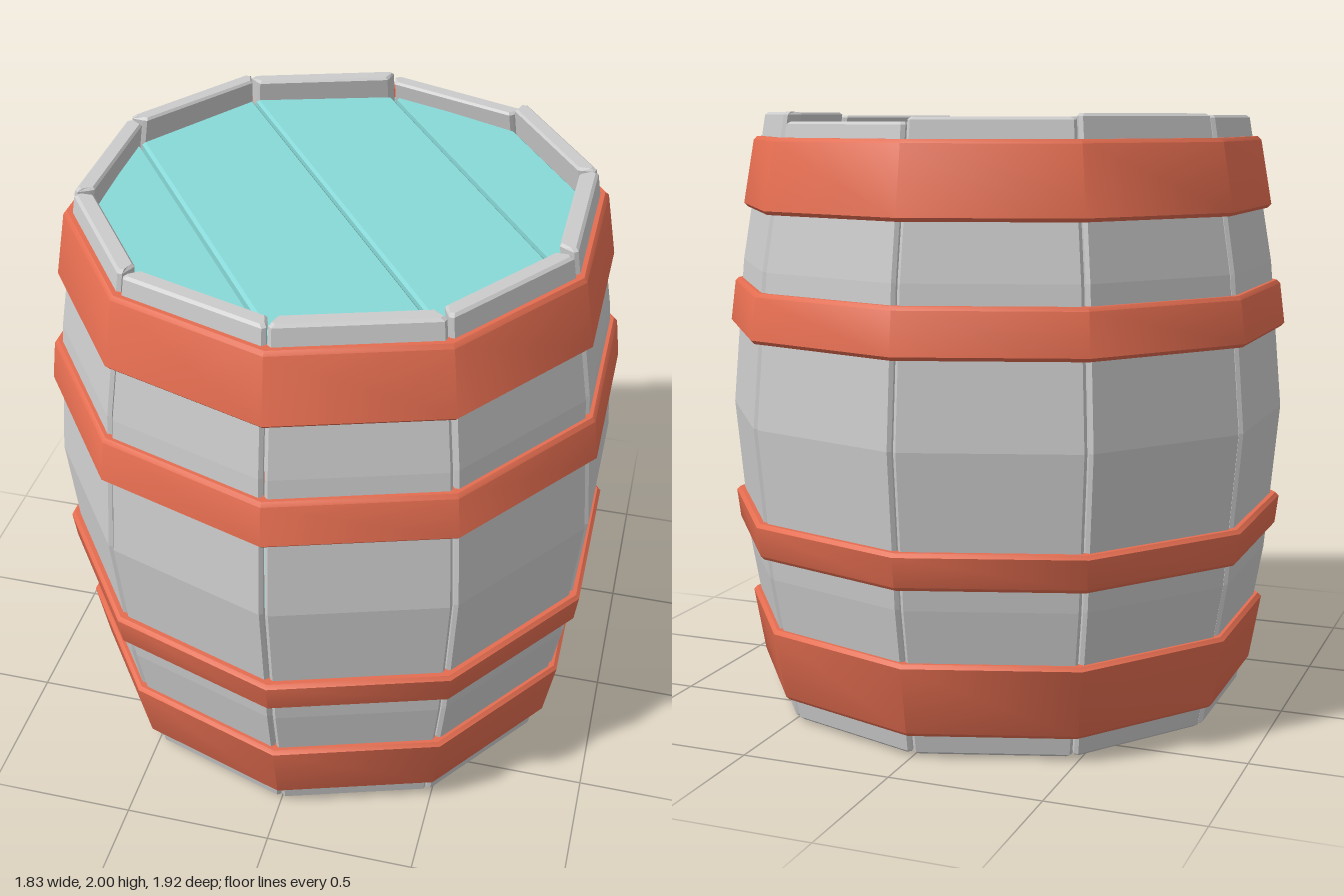
import * as THREE from 'three';
import { toCreasedNormals } from 'three/addons/utils/BufferGeometryUtils.js';

const SIDES = 10;
const STEP = (Math.PI * 2) / SIDES;
const APOTHEM = Math.cos(STEP / 2);

// Barrel bulge: corner radius at each height
const BULGE = [[0, 0.825], [0.5, 0.912], [1, 0.957], [1.5, 0.912], [2, 0.825]];
function radiusAt(y) {
  for (let i = 1; i < BULGE.length; i++) {
    const [y0, r0] = BULGE[i - 1], [y1, r1] = BULGE[i];
    if (y <= y1) return r0 + ((r1 - r0) * (y - y0)) / (y1 - y0);
  }
  return BULGE[BULGE.length - 1][1];
}

// Chamfered cross-section of a stave: [tangent, outward] pairs
function staveSection(y, inset) {
  const outer = radiusAt(y) * APOTHEM - inset;
  const inner = radiusAt(y) * APOTHEM - 0.058 + inset;
  const tan = Math.tan(STEP / 2), c = 0.012, gap = 0.003 + inset;
  const wo = outer * tan - gap, wi = inner * tan - gap;
  return [
    [-wo + c, outer], [wo - c, outer], [wo - c * 0.3, outer - c],
    [wi - c * 0.3, inner + c], [wi - c, inner],
    [-wi + c, inner], [-wi + c * 0.3, inner + c], [-wo + c * 0.3, outer - c],
  ];
}

// Loft one stave through its cross-sections
function staveGeometry(bottom, top) {
  const b = 0.008;
  const rings = [
    [bottom, b], [bottom + b, 0], [0.5, 0], [1, 0], [1.5, 0], [top - b, 0], [top, b],
  ].map(([y, inset]) => staveSection(y, inset).map(([t, n]) => [t, y, n]));
  const n = rings[0].length, last = (rings.length - 1) * n, index = [];
  for (let r = 0; r < rings.length - 1; r++) {
    for (let i = 0; i < n; i++) {
      const a = r * n + i, d = r * n + ((i + 1) % n);
      index.push(a, d, d + n, a, d + n, a + n);
    }
  }
  for (let i = 1; i < n - 1; i++) {
    index.push(last, last + i, last + i + 1, 0, i + 1, i);
  }
  const g = new THREE.BufferGeometry();
  g.setAttribute('position', new THREE.Float32BufferAttribute(rings.flat(2), 3));
  g.setIndex(index);
  return toCreasedNormals(g, 0.05);
}

// Tapered ten-sided hoop with bevelled rims
function hoopGeometry(y0, r0, y1, r1) {
  const thick = 0.045, b = 0.012;
  const profile = [
    [r0 - b, y0], [r0, y0 + b], [r1, y1 - b], [r1 - b, y1],
    [r1 - thick, y1], [r0 - thick, y0], [r0 - b, y0],
  ].map(([r, y]) => new THREE.Vector2(r, y));
  return toCreasedNormals(new THREE.LatheGeometry(profile, SIDES).toNonIndexed(), 0.66);
}

// Bevelled plank whose outline is one strip of the decagon
function plankGeometry(i0, i1, radius) {
  const bevel = 0.01, gap = 0.004 + bevel;
  const x0 = Math.sin(i0 * STEP) * radius + gap, h0 = Math.cos(i0 * STEP) * radius;
  const x1 = Math.sin(i1 * STEP) * radius - gap, h1 = Math.cos(i1 * STEP) * radius;
  const shape = new THREE.Shape([
    new THREE.Vector2(x0, -h0 + bevel), new THREE.Vector2(x1, -h1 + bevel),
    new THREE.Vector2(x1, h1 - bevel), new THREE.Vector2(x0, h0 - bevel),
  ]);
  const g = new THREE.ExtrudeGeometry(shape, {
    depth: 0.04, bevelEnabled: true, bevelThickness: bevel, bevelSize: bevel, bevelSegments: 1,
  });
  return g.translate(0, 0, -0.02).rotateX(Math.PI / 2);
}

export function createModel() {
  const group = new THREE.Group();
  group.name = 'barrel';
  const wood = new THREE.MeshStandardMaterial({ color: 0xcccccc });
  const hoopMat = new THREE.MeshStandardMaterial({ color: 0xe46d50 });
  const lidMat = new THREE.MeshStandardMaterial({ color: 0x88d9d8 });

  // Staves, with slightly uneven ends
  const tops = [1.985, 1.99, 2, 2, 1.97, 1.985, 1.995, 1.99, 1.985, 1.98];
  const staves = new THREE.Group();
  staves.name = 'staves';
  tops.forEach((top, k) => {
    const stave = new THREE.Mesh(staveGeometry(k === 1 ? 0 : 0.01, top), wood);
    stave.name = 'stave';
    stave.rotation.y = (k + 0.5) * STEP;
    staves.add(stave);
  });
  group.add(staves);

  // Hoops: bottom height, radius, top height, radius
  const hoops = [
    ['bottomHoop', 0.08, 0.866, 0.325, 0.905],
    ['lowerHoop', 0.57, 0.945, 0.69, 0.957],
    ['upperHoop', 1.275, 0.96, 1.435, 0.942],
    ['topHoop', 1.68, 0.905, 1.92, 0.866],
  ];
  for (const [name, ...size] of hoops) {
    const hoop = new THREE.Mesh(hoopGeometry(...size), hoopMat);
    hoop.name = name;
    group.add(hoop);
  }

  // Lids: four planks each, seams running between opposite corners
  for (const [name, y] of [['topLid', 1.88], ['bottomLid', 0.09]]) {
    const lid = new THREE.Group();
    lid.name = name;
    for (const [i0, i1] of [[-2, -1], [-1, 0], [0, 1], [1, 2]]) {
      const plank = new THREE.Mesh(plankGeometry(i0, i1, 0.785), lidMat);
      plank.name = 'lidPlank';
      lid.add(plank);
    }
    lid.position.y = y;
    lid.rotation.y = STEP;
    group.add(lid);
  }
  return group;
}
